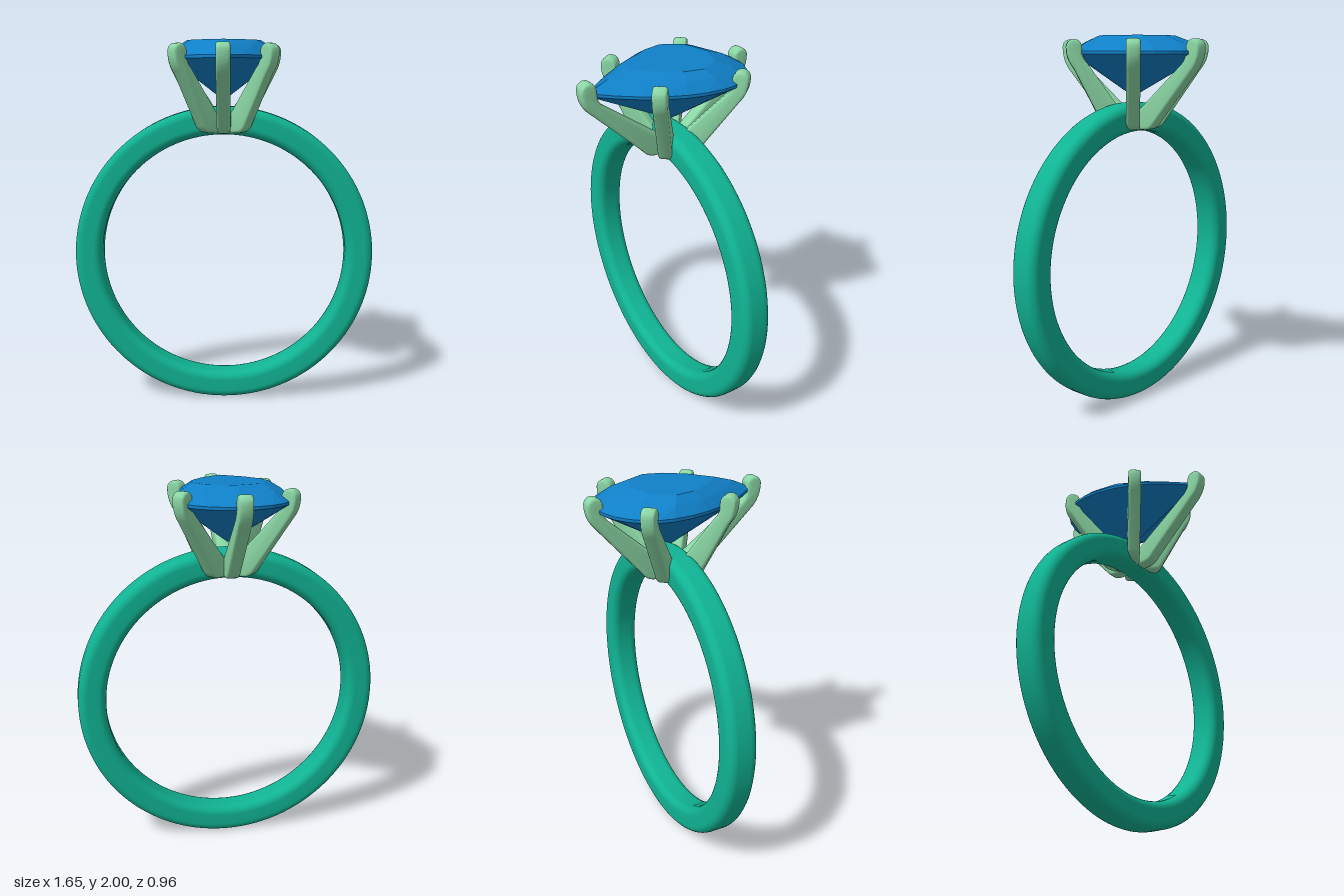
import * as THREE from 'three';
import { toCreasedNormals } from 'three/addons/utils/BufferGeometryUtils.js';
import { ConvexGeometry } from 'three/addons/geometries/ConvexGeometry.js';

const AXIS_Z = -0.027; // middle of the band and of the prong cluster

function addMesh(group, name, geometry, color, flatShading = false) {
  const mesh = new THREE.Mesh(geometry, new THREE.MeshStandardMaterial({ color, flatShading }));
  mesh.name = name;
  group.add(mesh);
  return mesh;
}

// Rounded-rectangle section swept round the finger axis
function bandGeometry() {
  const r0 = 0.675, r1 = 0.825, h = 0.08, c = 0.045, steps = 6;
  const corners = [
    [r1 - c, -h + c, -Math.PI / 2], [r1 - c, h - c, 0],
    [r0 + c, h - c, Math.PI / 2], [r0 + c, -h + c, Math.PI],
  ];
  const points = [new THREE.Vector2((r0 + r1) / 2, -h)];
  for (const [x, y, start] of corners) {
    for (let i = 0; i <= steps; i++) {
      const a = start + (i / steps) * Math.PI / 2;
      points.push(new THREE.Vector2(x + c * Math.cos(a), y + c * Math.sin(a)));
    }
  }
  points.push(points[0].clone());
  return new THREE.LatheGeometry(points, 128).rotateX(Math.PI / 2);
}

// Pear outline: half ellipse at the back, parabolic taper to a point in front
function pearOutline(backSteps, frontSteps) {
  const half = [];
  for (let i = 0; i <= backSteps; i++) {
    const a = (i / backSteps) * Math.PI / 2;
    half.push([0.3 * Math.sin(a), -0.15 - 0.28 * Math.cos(a)]);
  }
  for (let i = 1; i <= frontSteps; i++) {
    const s = i / frontSteps;
    half.push([0.3 * (1 - s * s), -0.15 + 0.58 * s]);
  }
  return [...half, ...half.map(([x, z]) => [-x, z])];
}

// Faceted stone as the hull of its girdle, crown, table and culet rings
function stoneGeometry() {
  const points = [new THREE.Vector3(0, 1.68, -0.03)];
  const ring = (outline, y, sx, sz) => {
    for (const [x, z] of outline) points.push(new THREE.Vector3(x * sx, y, -0.03 + (z + 0.03) * sz));
  };
  const fine = pearOutline(6, 6), coarse = pearOutline(2, 3);
  ring(fine, 1.905, 1, 1);
  ring(fine, 1.92, 1, 1);
  ring(coarse, 1.967, 0.85, 0.78);
  ring(coarse, 2.0, 0.67, 0.53);
  return new ConvexGeometry(points);
}

// Claw profile in (distance from axis, height), extruded to the claw width
function prongGeometry(reach) {
  const b = 0.014, width = 0.072;
  const s = new THREE.Shape();
  s.moveTo(0, 1.51 + b);
  s.lineTo(0.1, 1.51 + b);
  s.quadraticCurveTo(0.14, 1.51 + b, 0.16, 1.555);
  s.lineTo(reach - 0.01, 1.835);
  s.quadraticCurveTo(reach + 0.027, 1.88, reach + 0.027, 1.935);
  s.absarc(reach, 1.94, 0.027, 0, Math.PI, false);
  s.lineTo(reach - 0.03, 1.9);
  s.quadraticCurveTo(reach - 0.035, 1.87, reach - 0.06, 1.845);
  s.lineTo(0.09, 1.615);
  s.lineTo(0, 1.55);
  s.closePath();
  const g = new THREE.ExtrudeGeometry(s, {
    depth: width - 2 * b, bevelEnabled: true, bevelThickness: b, bevelSize: b,
    bevelSegments: 3, curveSegments: 8,
  });
  g.translate(0, 0, -width / 2 + b);
  return toCreasedNormals(g, 0.6);
}

export function createModel() {
  const ring = new THREE.Group();
  ring.name = 'ring';

  const band = addMesh(ring, 'band', bandGeometry(), 0x10b393);
  band.position.set(0, 0.825, AXIS_Z);

  addMesh(ring, 'stone', stoneGeometry(), 0x1080c8, true);

  // Six claws, each aimed from the axis at its tip on the girdle
  const setting = new THREE.Group();
  setting.name = 'setting';
  ring.add(setting);
  const tips = [
    ['frontProng', 0, 0.438], ['backProng', 0, -0.443],
    ['backLeftProng', 0.272, -0.268], ['backRightProng', -0.272, -0.268],
    ['frontLeftProng', 0.238, 0.177], ['frontRightProng', -0.238, 0.177],
  ];
  for (const [name, x, z] of tips) {
    const dz = z - AXIS_Z;
    const prong = addMesh(setting, name, prongGeometry(Math.hypot(x, dz)), 0x8ad6a4);
    prong.position.z = AXIS_Z;
    prong.rotation.y = Math.atan2(-dz, x);
  }
  return ring;
}
